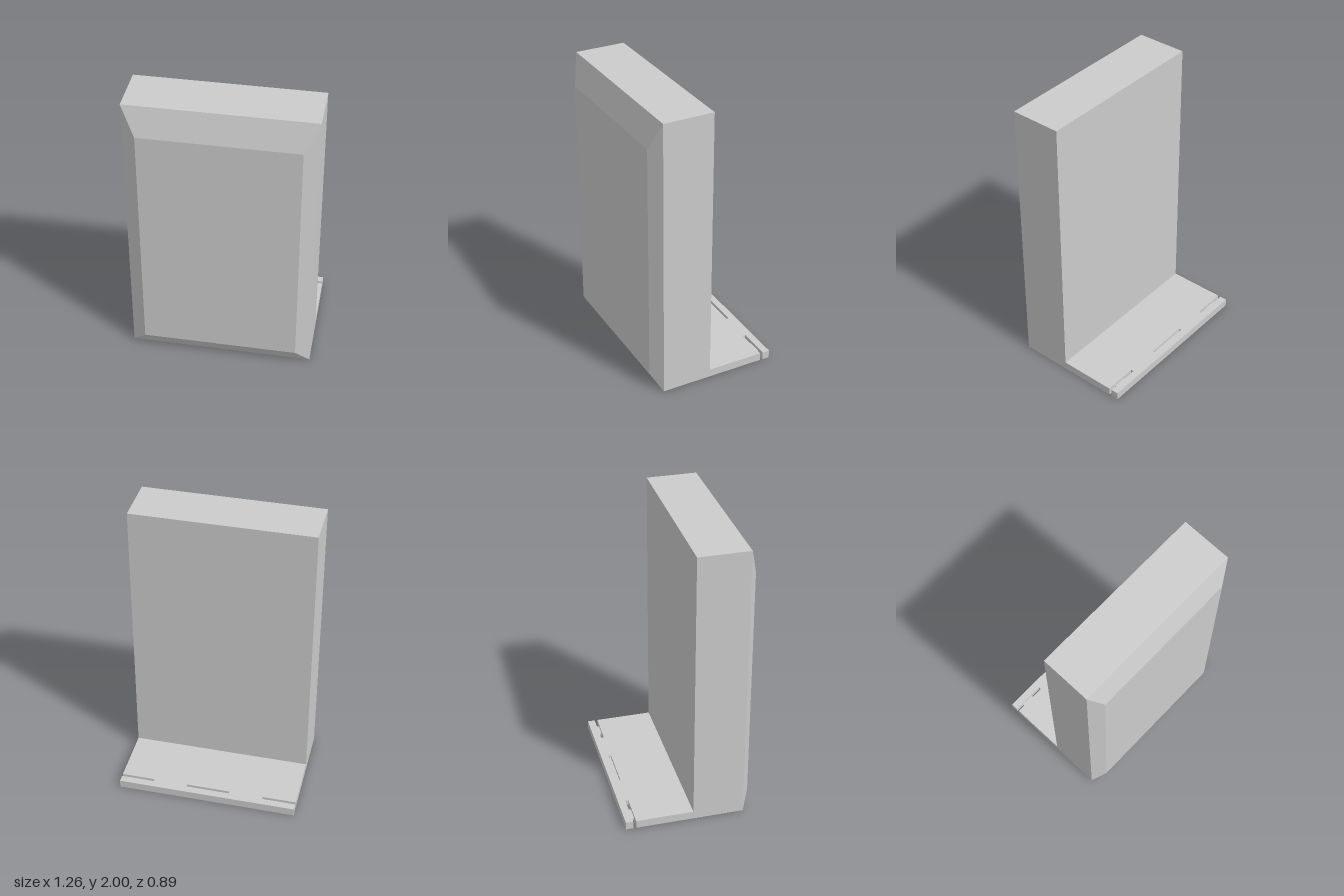
import * as THREE from 'three';

const material = new THREE.MeshStandardMaterial({ color: 0xcccccc, flatShading: true });
const HALF_W = 0.632;

// Box given by its lower and upper bounds on each axis
function block(name, [x0, x1], [y0, y1], [z0, z1]) {
  const mesh = new THREE.Mesh(new THREE.BoxGeometry(x1 - x0, y1 - y0, z1 - z0), material);
  mesh.position.set((x0 + x1) / 2, (y0 + y1) / 2, (z0 + z1) / 2);
  mesh.name = name;
  return mesh;
}

// Upright slab: the middle ring becomes the bevel edge, the front ring is drawn in
function bevelledSlab() {
  const box = new THREE.BoxGeometry(2 * HALF_W, 2, 1, 1, 1, 2);
  const p = box.attributes.position;
  for (let i = 0; i < p.count; i++) {
    const z = p.getZ(i);
    const top = p.getY(i) > 0;
    if (z > 0.25) {
      p.setXYZ(i, Math.sign(p.getX(i)) * 0.535, top ? 1.8 : 0.105, 0.445);
    } else {
      p.setY(i, top ? 2 : 0);
      p.setZ(i, z < -0.25 ? 0.03 : 0.385);
    }
  }
  const geometry = box.toNonIndexed();
  geometry.computeVertexNormals();
  const mesh = new THREE.Mesh(geometry, material);
  mesh.name = 'uprightSlab';
  return mesh;
}

export function createModel() {
  const model = new THREE.Group();
  model.name = 'bevelledPanelWithFoot';
  const full = [-HALF_W, HALF_W];
  const thick = [0, 0.057];
  const gap = [-0.393, -0.373];

  model.add(bevelledSlab());
  model.add(block('footPlate', full, thick, [-0.373, 0.03]));
  model.add(block('rearStrip', full, thick, [-0.445, -0.393]));

  // Links across the narrow gap between plate and strip
  model.add(block('centreLink', [-0.155, 0.155], [0.022, 0.038], gap));
  for (const s of [-1, 1]) {
    const side = s > 0 ? 'left' : 'right';
    const span = (a, b) => (s > 0 ? [a, b] : [-b, -a]);
    model.add(block(side + 'FlushLink', span(0.155, 0.395), [0.02, 0.057], gap));
    model.add(block(side + 'Pin', span(0.475, 0.572), [0.022, 0.038], gap));
  }
  return model;
}
